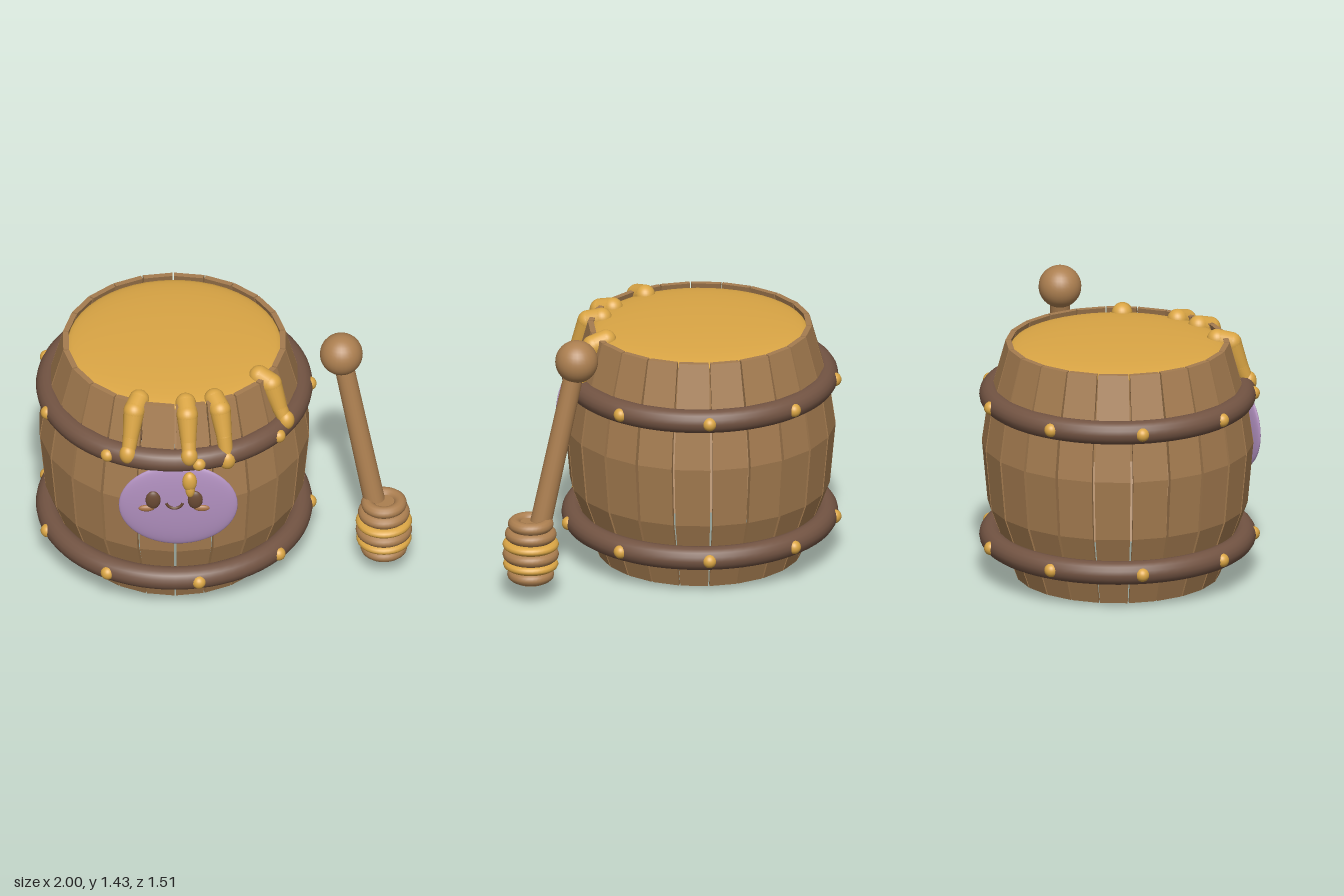
import * as THREE from 'three';

const mat = (name, color) => Object.assign(new THREE.MeshStandardMaterial({ color }), { name });

export function createModel() {
  const wood = mat('stave wood', 0xa57c50);
  const dark = mat('hoop brown', 0x735443);
  const gold = mat('honey gold', 0xdba645);
  const lilac = mat('plaque lilac', 0xb08fbe);
  const stick = mat('dipper wood', 0xac7f50);
  const eyeMat = mat('eye brown', 0x6a4a34);
  const cheekMat = mat('cheek tan', 0xa87448);

  const model = new THREE.Group();
  model.name = 'honeyBarrelWithDipper';
  const barrel = new THREE.Group();
  barrel.name = 'barrel';
  barrel.position.x = -0.265;
  const dipper = new THREE.Group();
  dipper.name = 'dipper';
  model.add(barrel, dipper);

  const add = (parent, name, geo, material, x = 0, y = 0, z = 0) => {
    const m = new THREE.Mesh(geo, material);
    m.name = name;
    m.position.set(x, y, z);
    parent.add(m);
    return m;
  };
  const blob = (parent, name, material, p, r) => {
    const m = add(parent, name, new THREE.SphereGeometry(1, 28, 18), material, ...p);
    m.scale.set(...r);
    return m;
  };
  // tapered rod between two points
  const rod = (parent, name, material, a, b, ra, rb) => {
    const dir = b.clone().sub(a);
    const m = add(parent, name, new THREE.CylinderGeometry(rb, ra, dir.length(), 20), material);
    m.position.copy(a).add(b).multiplyScalar(0.5);
    m.quaternion.setFromUnitVectors(new THREE.Vector3(0, 1, 0), dir.normalize());
    return m;
  };

  // Staves: one bowed slab, repeated around the barrel with narrow gaps
  const STAVES = 22;
  const profile = [[0, 0.54, 0.004], [0.4, 0.685, 0.007], [0.73, 0.715, 0.008], [0.94, 0.685, 0.007], [1.287, 0.59, 0.004]];
  const indexed = new THREE.BoxGeometry(1, 4, 1, 1, 4, 1);
  const pos = indexed.attributes.position;
  const half = Math.tan(Math.PI / STAVES);
  for (let i = 0; i < pos.count; i++) {
    const [y, r, gap] = profile[Math.round(pos.getY(i) + 2)];
    const rad = pos.getZ(i) > 0 ? r : r - 0.03;
    pos.setXYZ(i, Math.sign(pos.getX(i)) * (rad * half - gap), y, rad);
  }
  const staveGeo = indexed.toNonIndexed();
  staveGeo.computeVertexNormals();
  for (let i = 0; i < STAVES; i++) {
    add(barrel, 'stave', staveGeo, wood).rotation.y = (i + 0.5) * 2 * Math.PI / STAVES;
  }

  // Hoops with nine studs each
  for (const y of [0.212, 0.995]) {
    add(barrel, 'hoop', new THREE.TorusGeometry(0.672, 0.063, 16, 72), dark, 0, y, 0).rotation.x = Math.PI / 2;
    for (let i = 0; i < 9; i++) {
      const a = i * 2 * Math.PI / 9;
      blob(barrel, 'stud', gold, [0.718 * Math.cos(a), y, 0.718 * Math.sin(a)], [0.037, 0.037, 0.037]);
    }
  }

  // Honey surface, gently domed
  const honey = blob(barrel, 'honeySurface', gold, [0, 1.255, 0], [0.57, 0.05, 0.57]);
  honey.geometry = new THREE.SphereGeometry(1, 48, 20);

  // Drips: [angle from +x in degrees, lowest y]
  for (const [deg, end] of [[111, 0.97], [84, 0.985], [67, 0.925], [33, 0.985]]) {
    const drip = new THREE.Group();
    drip.name = 'honeyDrip';
    drip.rotation.y = -deg * Math.PI / 180;
    barrel.add(drip);
    const pts = [[0.535, 1.268, 0.055], [0.61, 1.245, 0.057], [0.662, 1.11, 0.042], [0.7, end + 0.05, 0.036]];
    pts.forEach(([r, y, w], i) => {
      blob(drip, 'dripJoint', gold, [r, y, 0], [w, w, w]);
      if (!i) return;
      const [pr, py, pw] = pts[i - 1];
      rod(drip, 'dripRun', gold, new THREE.Vector3(pr, py, 0), new THREE.Vector3(r, y, 0), pw, w);
    });
    blob(drip, 'dripBulb', gold, [0.706, end + 0.055, 0], [0.042, 0.055, 0.045]);
  }

  // Plaque with a smiling face
  const face = new THREE.Group();
  face.name = 'facePlaque';
  face.position.set(-0.25, 0.725, 0.702);
  model.add(face);
  const plate = blob(face, 'plaque', lilac, [0, 0, 0], [0.316, 0.26, 0.034]);
  plate.geometry = new THREE.SphereGeometry(1, 48, 24);
  for (const s of [-1, 1]) {
    blob(face, 'eye', eyeMat, [-0.022 + s * 0.112, 0.052, 0.032], [0.04, 0.056, 0.02]);
    blob(face, 'cheek', cheekMat, [-0.022 + s * 0.147, -0.002, 0.032], [0.042, 0.019, 0.014]);
  }
  add(face, 'mouth', new THREE.TorusGeometry(0.045, 0.008, 8, 20, Math.PI * 0.9), eyeMat, -0.02, 0.045, 0.036)
    .rotation.z = Math.PI * 1.05;
  blob(face, 'fallingDrop', gold, [0.06, 0.17, 0.03], [0.039, 0.06, 0.032]);
  blob(face, 'fallingDropTip', gold, [0.063, 0.12, 0.036], [0.025, 0.046, 0.022]);

  // Dipper: knob, leaning handle and a stack of rings
  blob(dipper, 'knob', stick, [0.62, 1.315, 0.167], [0.114, 0.114, 0.114]);
  rod(dipper, 'handle', stick, new THREE.Vector3(0.815, 0.32, 0.288),
    new THREE.Vector3(0.625, 1.29, 0.17), 0.058, 0.052);
  const hx = 0.845, hz = 0.305;
  add(dipper, 'headCore', new THREE.CylinderGeometry(0.1, 0.1, 0.32, 28), stick, hx, 0.28, hz);
  [[0.428, 0.122], [0.37, 0.138], [0.313, 0.15], [0.257, 0.15], [0.202, 0.147], [0.143, 0.125]].forEach(([y, r], i) => {
    const isHoney = i === 2 || i === 4;
    const h = isHoney ? 0.025 : 0.033;
    const ring = add(dipper, isHoney ? 'honeyRing' : 'headRing',
      new THREE.TorusGeometry(r - 0.035, 0.035, 12, 36), isHoney ? gold : stick, hx, y, hz);
    ring.rotation.x = Math.PI / 2;
    ring.scale.z = h / 0.035;
  });
  add(dipper, 'headBase', new THREE.CylinderGeometry(0.1, 0.085, 0.03, 28), stick, hx, 0.117, hz);

  return model;
}
